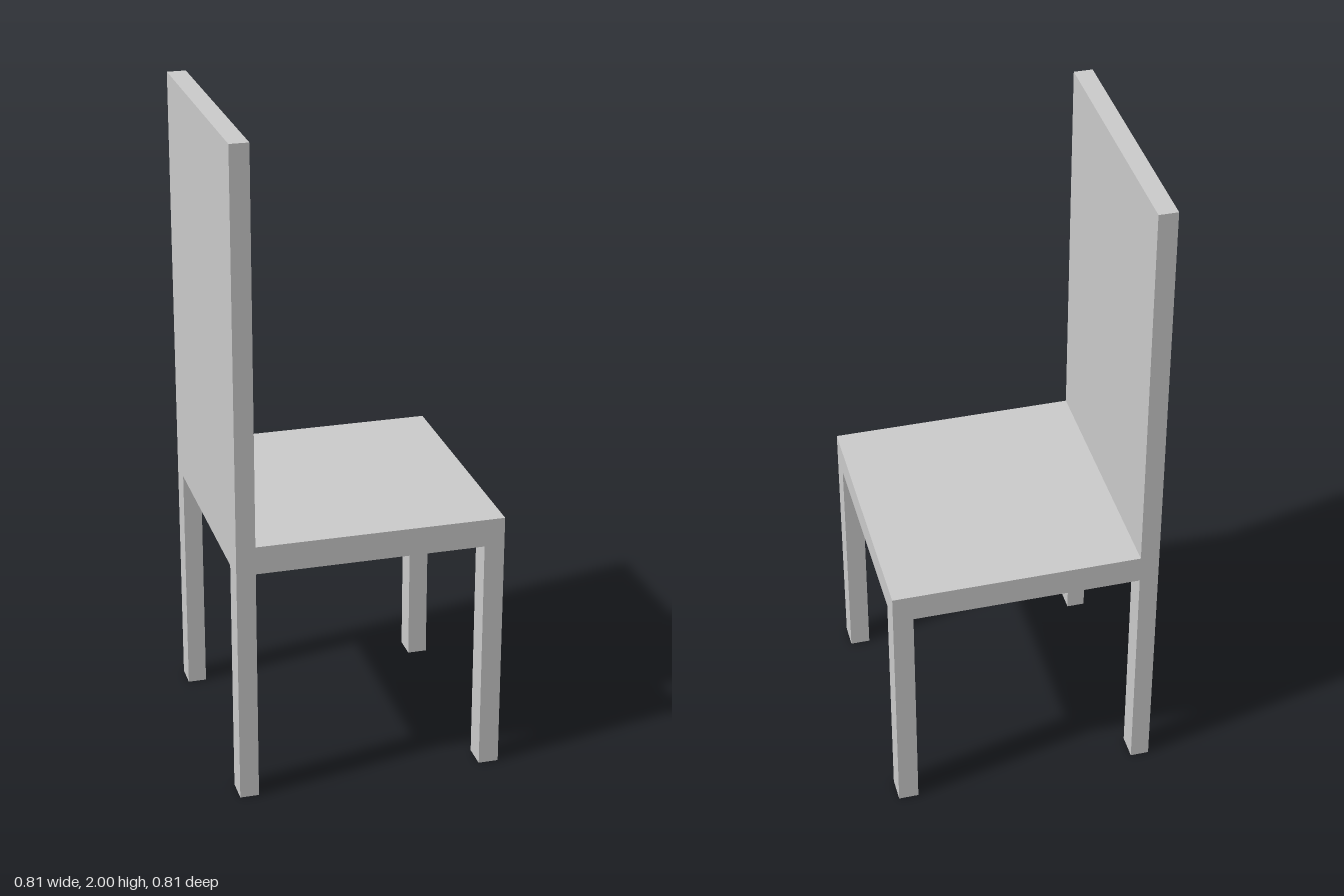
import * as THREE from 'three';

export function createModel() {
  const chair = new THREE.Group();
  chair.name = 'chair';
  const material = new THREE.MeshStandardMaterial({ color: 0xcccccc, flatShading: true });

  const half = 0.403;      // half the width and depth of the seat
  const seatBottom = 0.73;
  const seatTop = 0.815;
  const legDepth = 0.077;  // leg size along z
  const backThick = 0.057;

  // Box whose base rests at height y0
  function block(name, width, height, depth, x, y0, z) {
    const mesh = new THREE.Mesh(new THREE.BoxGeometry(width, height, depth), material);
    mesh.name = name;
    mesh.position.set(x, y0 + height / 2, z);
    chair.add(mesh);
  }

  // Seat slab
  block('seat', half * 2, seatTop - seatBottom, half * 2, 0, seatBottom, 0);

  // Tall solid backrest along the -x edge
  block('backrest', backThick, 2 - seatTop, half * 2, -half + backThick / 2, seatTop, 0);

  // Four legs, flush with the seat corners
  for (const sx of [-1, 1]) {
    const width = sx < 0 ? backThick : 0.061;
    for (const sz of [-1, 1]) {
      block(sx < 0 ? 'backrestSideLeg' : 'openSideLeg', width, seatBottom, legDepth,
        sx * (half - width / 2), 0, sz * (half - legDepth / 2));
    }
  }

  return chair;
}
